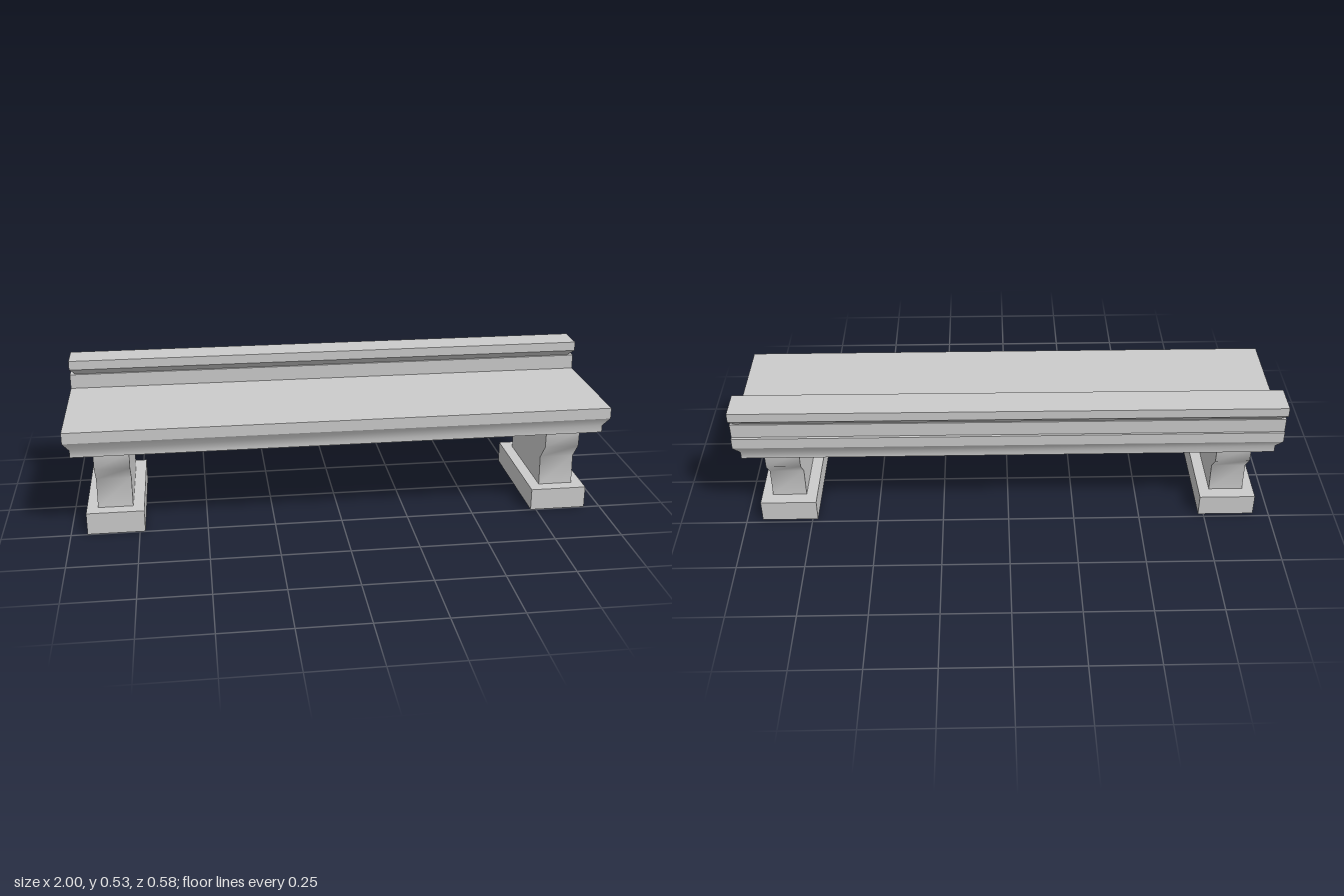
import * as THREE from 'three';
import { mergeGeometries } from 'three/addons/utils/BufferGeometryUtils.js';

const stone = new THREE.MeshStandardMaterial({ color: 0xcccccc, side: THREE.DoubleSide });

// Corners of a rectangular ring [y, xMin, xMax, zMin, zMax], counter-clockwise from above
const corners = ([y, x0, x1, z0, z1]) => [[x0, y, z1], [x1, y, z1], [x1, y, z0], [x0, y, z0]];

// Surface strip through pairs of points, smooth along its length
function strip(pairs) {
  const g = new THREE.BufferGeometry();
  const index = [];
  for (let i = 0; i < pairs.length - 1; i++) {
    const k = i * 2;
    index.push(k, k + 1, k + 3, k, k + 3, k + 2);
  }
  g.setAttribute('position', new THREE.Float32BufferAttribute(pairs.flat(2), 3));
  g.setIndex(index);
  g.computeVertexNormals();
  return g;
}

// Four-sided moulding: each band is a list of rings (bottom to top) shaded smoothly,
// with sharp edges between bands and at the corners
function moulding(name, bands, { top = true, bottom = true } = {}) {
  const parts = [];
  for (const band of bands) {
    const rings = band.map(corners);
    for (let s = 0; s < 4; s++) parts.push(strip(rings.map(r => [r[s], r[(s + 1) % 4]])));
  }
  if (top) {
    const [a, b, c, d] = corners(bands.at(-1).at(-1));
    parts.push(strip([[a, b], [d, c]]));
  }
  if (bottom) {
    const [a, b, c, d] = corners(bands[0][0]);
    parts.push(strip([[d, c], [a, b]]));
  }
  const mesh = new THREE.Mesh(mergeGeometries(parts), stone);
  mesh.name = name;
  return mesh;
}

// Slight sideways run of the back rail along the bench
function skew(mesh) {
  const p = mesh.geometry.attributes.position;
  for (let i = 0; i < p.count; i++) p.setZ(i, p.getZ(i) + 0.0025 * p.getX(i));
  mesh.geometry.computeBoundingSphere();
  return mesh;
}

export function createModel() {
  const bench = new THREE.Group();
  bench.name = 'bench';

  // Seat slab with a moulded underside edge running all round
  const seatFoot = [0.315, -0.978, 0.978, -0.256, 0.268];
  const seatNeck = [0.342, -0.978, 0.978, -0.256, 0.268];
  const seatLip = [0.376, -1, 1, -0.277, 0.289];
  const seatTop = [0.417, -1, 1, -0.277, 0.289];
  bench.add(moulding('seat', [[seatFoot, seatNeck, seatLip], [seatLip, seatTop]]));

  // Low back rail and its flared cap
  bench.add(skew(moulding('backRail', [[
    [0.417, -1, 1, -0.2675, -0.1845],
    [0.472, -1, 1, -0.2675, -0.1845],
  ]])));
  const capLip = [0.497, -1, 1, -0.2855, -0.1675];
  bench.add(skew(moulding('railCap', [
    [[0.472, -0.98, 0.98, -0.262, -0.193], capLip],
    [capLip, [0.532, -1, 1, -0.2855, -0.1675]],
  ])));

  // Two pedestals: a waisted leg on a plinth that is hollow underneath
  for (const [side, cx] of [['left', 0.835], ['right', -0.835]]) {
    const pedestal = new THREE.Group();
    pedestal.name = side + 'Pedestal';
    const profile = [
      [0.083, -0.185, 0.199],
      [0.195, -0.182, 0.195],
      [0.255, -0.233, 0.247],
      [0.315, -0.236, 0.25],
    ];
    const leg = profile.map(([y, z0, z1]) => [y, -0.064, 0.064, z0, z1]);
    pedestal.add(moulding('leg', [leg], { top: false, bottom: false }));
    pedestal.add(moulding('plinth', [[
      [0, -0.105, 0.105, -0.235, 0.248],
      [0.083, -0.105, 0.105, -0.235, 0.248],
    ]], { bottom: false }));
    pedestal.position.x = cx;
    bench.add(pedestal);
  }
  return bench;
}
